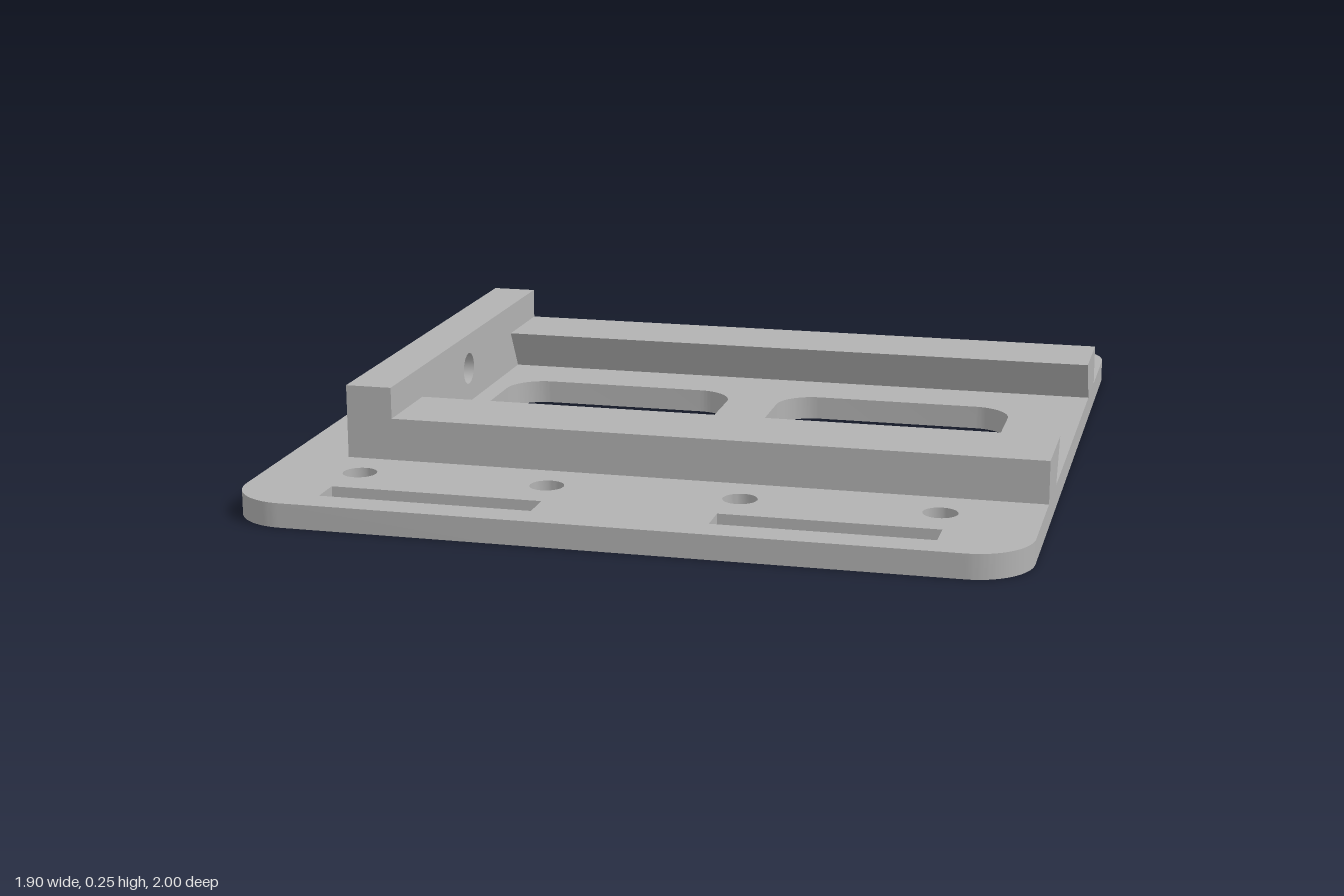
import * as THREE from 'three';
import { toCreasedNormals } from 'three/addons/utils/BufferGeometryUtils.js';

const PLATE_TOP = 0.06;

// Rectangle with rounded corners, usable as an outline or a hole
function roundedRect(x0, y0, x1, y1, r, PathType = THREE.Path) {
  const p = new PathType();
  p.moveTo(x0 + r, y0);
  p.lineTo(x1 - r, y0);
  p.absarc(x1 - r, y0 + r, r, -Math.PI / 2, 0);
  p.lineTo(x1, y1 - r);
  p.absarc(x1 - r, y1 - r, r, 0, Math.PI / 2);
  p.lineTo(x0 + r, y1);
  p.absarc(x0 + r, y1 - r, r, Math.PI / 2, Math.PI);
  p.lineTo(x0, y0 + r);
  p.absarc(x0 + r, y0 + r, r, Math.PI, Math.PI * 1.5);
  return p;
}

function polygon(points, PathType = THREE.Path) {
  const p = new PathType();
  points.forEach(([x, y], i) => (i ? p.lineTo(x, y) : p.moveTo(x, y)));
  p.closePath();
  return p;
}

const circle = (x, y, r) => new THREE.Path().absarc(x, y, r, 0, Math.PI * 2);

function extrude(shape, depth) {
  return new THREE.ExtrudeGeometry(shape, { depth, bevelEnabled: false, curveSegments: 16 });
}

export function createModel() {
  const model = new THREE.Group();
  model.name = 'dovetailMountingPlate';
  const grey = new THREE.MeshStandardMaterial({ color: 0xb2b2b2 });
  grey.name = 'grey';

  const add = (name, geometry) => {
    const mesh = new THREE.Mesh(toCreasedNormals(geometry, 0.5), grey);
    mesh.name = name;
    model.add(mesh);
  };

  // Base plate with windows, strap slots and screw holes
  const plate = roundedRect(-0.95, -1, 0.95, 1, 0.14, THREE.Shape);
  for (const [x0, x1] of [[-0.625, 0], [0.137, 0.762]]) {
    plate.holes.push(roundedRect(x0, -0.262, x1, 0.262, 0.1));
  }
  for (const side of [-1, 1]) {
    for (const [x0, x1] of [[-0.74, -0.215], [0.21, 0.735]]) {
      const a = side * 0.84, b = side * 0.92;
      plate.holes.push(polygon([[x0, a], [x1, a], [x1, b], [x0, b]]));
    }
    for (const x of [-0.717, -0.24, 0.236, 0.712]) {
      plate.holes.push(circle(x, side * 0.714, 0.042));
    }
  }
  add('basePlate', extrude(plate, PLATE_TOP).rotateX(-Math.PI / 2));

  // Pair of undercut dovetail rails
  for (const side of [-1, 1]) {
    const profile = polygon([
      [side * 0.59, PLATE_TOP], [side * 0.59, 0.166],
      [side * 0.367, 0.166], [side * 0.428, PLATE_TOP],
    ], THREE.Shape);
    const rail = extrude(profile, 0.95 + 0.678).rotateY(Math.PI / 2).translate(-0.678, 0, 0);
    add(side < 0 ? 'frontRail' : 'backRail', rail);
  }

  // End stop wall with a central screw hole
  const wall = polygon([[-0.59, PLATE_TOP], [0.59, PLATE_TOP], [0.59, 0.245], [-0.59, 0.245]], THREE.Shape);
  wall.holes.push(circle(0, 0.152, 0.042));
  add('endStop', extrude(wall, 0.117).rotateY(Math.PI / 2).translate(-0.795, 0, 0));

  return model;
}
